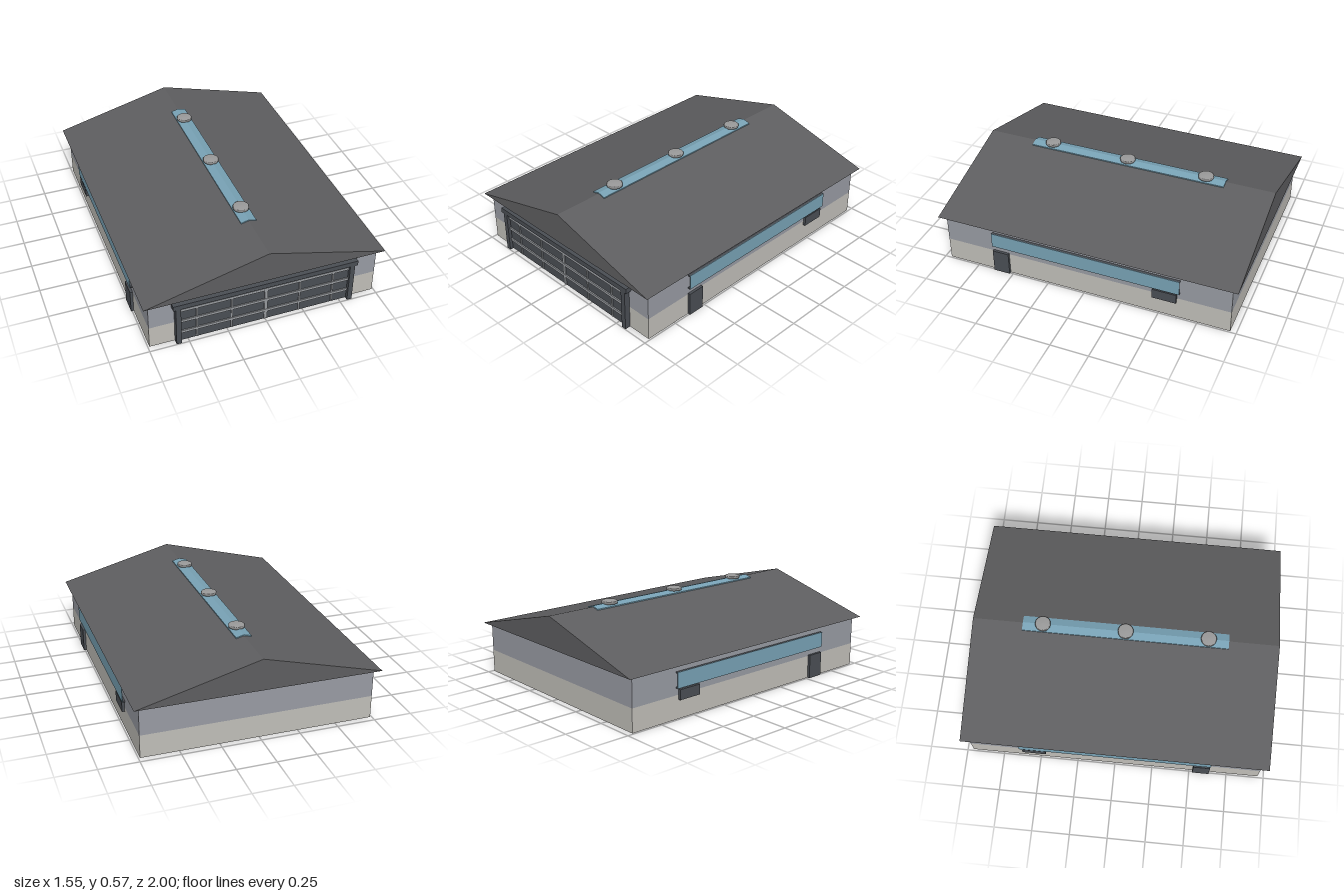
import * as THREE from 'three';

const paint = (color) => new THREE.MeshStandardMaterial({ color, side: THREE.DoubleSide });

export function createModel() {
  const model = new THREE.Group();
  const roofMat = paint(0x5e5e60), upperMat = paint(0x989ba3), lowerMat = paint(0xc0beb8);
  const darkMat = paint(0x4a4e54), barMat = paint(0x989b9f), glassMat = paint(0x78a2b5), ventMat = paint(0x9a9a9a);

  const add = (parent, name, geometry, material) => {
    const mesh = new THREE.Mesh(geometry, material);
    mesh.name = name;
    parent.add(mesh);
    return mesh;
  };
  // Box given by its limits on each axis
  const box = (parent, name, material, [x0, x1], [y0, y1], [z0, z1]) => {
    const mesh = add(parent, name, new THREE.BoxGeometry(x1 - x0, y1 - y0, z1 - z0), material);
    mesh.position.set((x0 + x1) / 2, (y0 + y1) / 2, (z0 + z1) / 2);
    return mesh;
  };
  // Outline in x and y, extruded evenly about z = 0
  const prism = (name, points, length, material) => {
    const shape = new THREE.Shape(points.map(([x, y]) => new THREE.Vector2(x, y)));
    const geometry = new THREE.ExtrudeGeometry(shape, { depth: length, bevelEnabled: false });
    return add(model, name, geometry.translate(0, 0, -length / 2), material);
  };

  // Walls in two bands
  box(model, 'lowerWalls', lowerMat, [-0.74, 0.74], [0, 0.15], [-0.96, 0.96]);
  box(model, 'upperWalls', upperMat, [-0.74, 0.74], [0.15, 0.34], [-0.96, 0.96]);

  // Gabled roof and the skylight folded over its ridge
  prism('roof', [[-0.777, 0.338], [0.777, 0.338], [0, 0.543]], 2, roofMat);
  prism('ridgeSkylight', [[-0.05, 0.527], [0, 0.54], [0.05, 0.527], [0.05, 0.537], [0, 0.55], [-0.05, 0.537]], 1.345, glassMat);

  // Round ridge vents: narrow neck under a wide cap
  const ventProfile = [[0.03, 0.53], [0.03, 0.541], [0.05, 0.546], [0.051, 0.56], [0.046, 0.564], [0, 0.566]]
    .map(([r, y]) => new THREE.Vector2(r, y));
  for (const z of [-0.54, 0, 0.54]) {
    add(model, 'ridgeVent', new THREE.LatheGeometry(ventProfile, 24), ventMat).position.z = z;
  }

  // Large front door: frame, recessed panel and glazing bars
  const door = new THREE.Group();
  door.name = 'frontDoor';
  model.add(door);
  box(door, 'doorHeader', darkMat, [-0.597, 0.597], [0.277, 0.31], [0.96, 1]);
  box(door, 'doorPanel', darkMat, [-0.55, 0.55], [0.004, 0.277], [0.955, 0.975]);
  for (const s of [-1, 1]) {
    box(door, 'doorPost', darkMat, [s * 0.564 - 0.016, s * 0.564 + 0.016], [0, 0.277], [0.96, 0.997]);
  }
  for (const y of [0.077, 0.163, 0.249]) {
    box(door, 'horizontalBar', barMat, [-0.547, 0.547], [y - 0.009, y + 0.009], [0.97, 0.983]);
  }
  for (const x of [-0.444, -0.222, 0, 0.222, 0.444]) {
    const w = x === 0 ? 0.01 : 0.005;
    box(door, 'verticalBar', barMat, [x - w, x + w], [0.008, 0.277], [0.97, 0.981]);
  }

  // Both long sides: strip window, side door and wall unit
  for (const s of [-1, 1]) {
    const side = new THREE.Group();
    side.name = s > 0 ? 'leftSide' : 'rightSide';
    model.add(side);
    const out = (a, b) => (s > 0 ? [a, b] : [-b, -a]);
    box(side, 'stripWindow', glassMat, out(0.755, 0.758), [0.195, 0.295], [-0.633, 0.633]);
    for (const y of [0.195, 0.287]) {
      box(side, 'windowRail', darkMat, out(0.738, 0.755), [y, y + 0.008], [-0.633, 0.633]);
    }
    box(side, 'sideDoor', darkMat, out(0.735, 0.757), [0, 0.157], [0.522, 0.632]);
    box(side, 'wallUnit', darkMat, out(0.735, 0.757), [0.12, 0.185], [-0.614, -0.458]);
  }
  return model;
}
